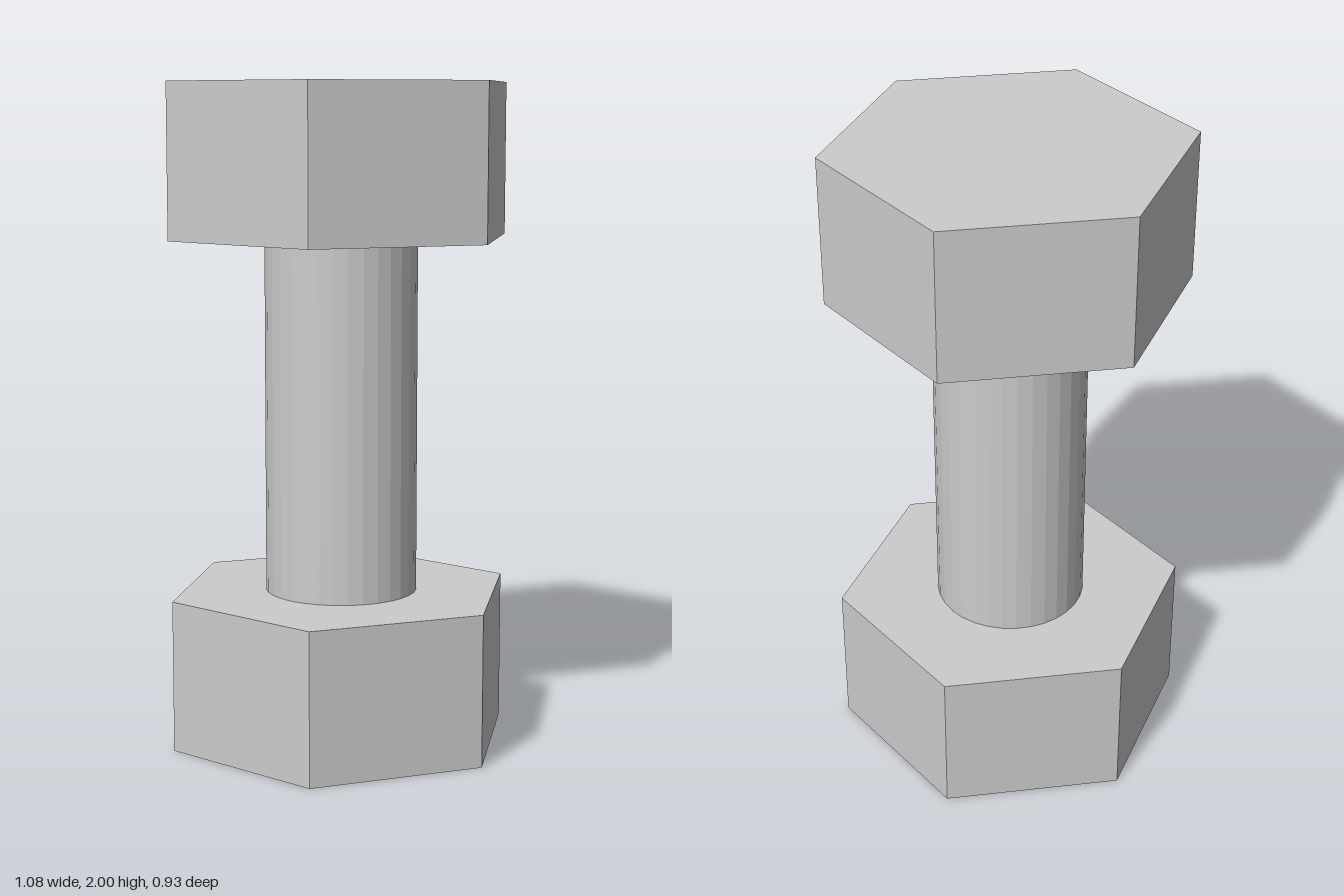
import * as THREE from 'three';

const UNIT = 2 / 26;            // the whole dumbbell is 26 units tall
const HEAD_RADIUS = 7 * UNIT;   // centre to hexagon corner
const HEAD_HEIGHT = 6 * UNIT;
const BAR_RADIUS = 3 * UNIT;
const BAR_HEIGHT = 14 * UNIT;

export function createModel() {
  const group = new THREE.Group();
  group.name = 'dumbbell';
  const material = new THREE.MeshStandardMaterial({ color: 0xcccccc, flatShading: true });

  const addPart = (name, geometry, y) => {
    const mesh = new THREE.Mesh(geometry, material);
    mesh.name = name;
    mesh.position.y = y;
    group.add(mesh);
  };

  // Hexagonal weights, turned so that corners point along x and flats face z
  const head = new THREE.CylinderGeometry(HEAD_RADIUS, HEAD_RADIUS, HEAD_HEIGHT, 6);
  head.rotateY(Math.PI / 6);
  addPart('bottomWeight', head, HEAD_HEIGHT / 2);
  addPart('topWeight', head, 2 - HEAD_HEIGHT / 2);

  // Faceted handle; its ends are hidden against the weights
  const bar = new THREE.CylinderGeometry(BAR_RADIUS, BAR_RADIUS, BAR_HEIGHT, 32, 1, true);
  addPart('handle', bar, 1);

  return group;
}
